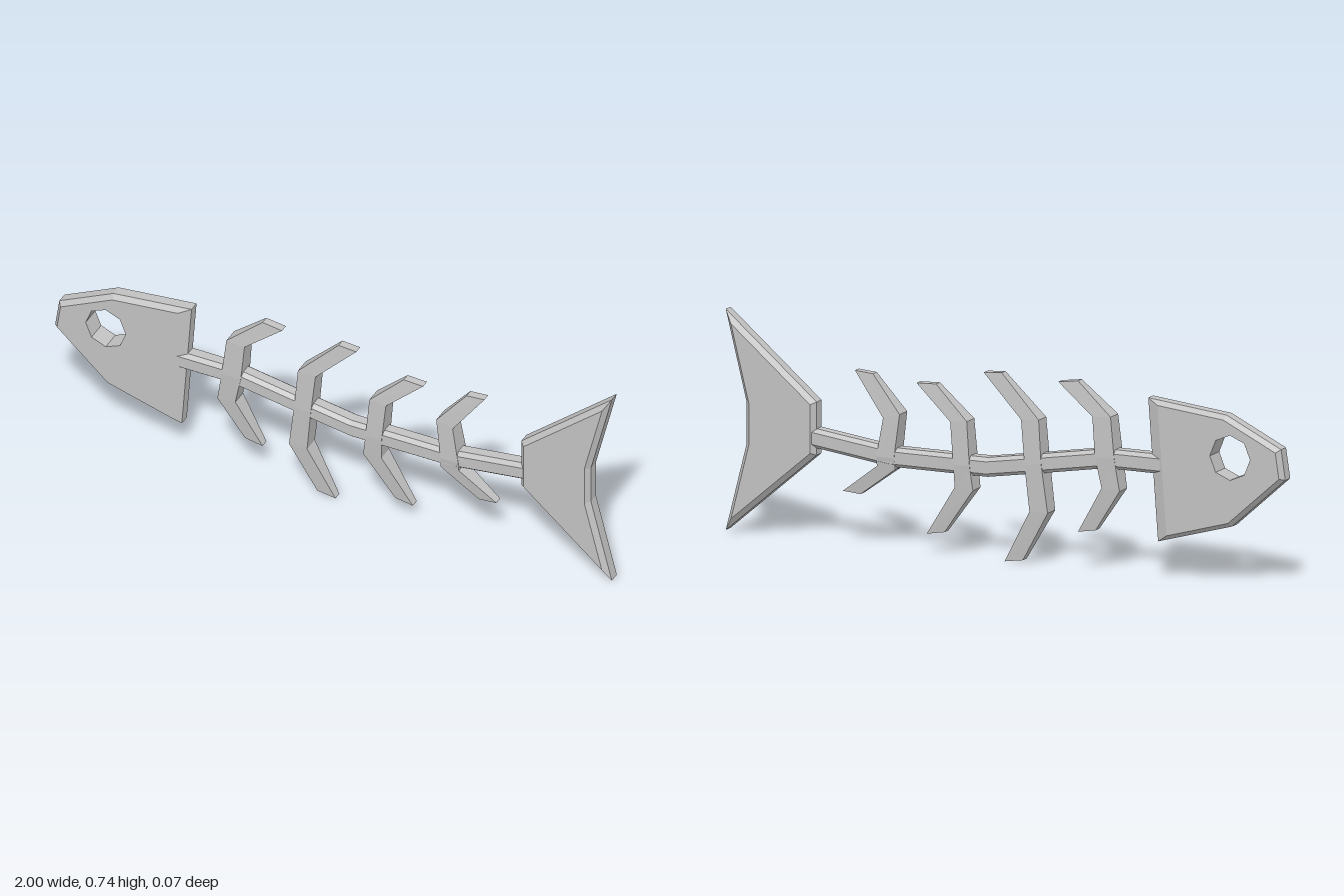
import * as THREE from 'three';

const bone = new THREE.MeshStandardMaterial({ color: 0xc2c2c2, flatShading: true });
bone.name = 'boneGrey';

// Collects flat triangles and turns them into a mesh.
function makeMesh(name, tris) {
  const geo = new THREE.BufferGeometry();
  geo.setAttribute('position', new THREE.Float32BufferAttribute(tris.flat(2), 3));
  geo.computeVertexNormals();
  const mesh = new THREE.Mesh(geo, bone);
  mesh.name = name;
  return mesh;
}

// Joins successive rings of points with side faces.
function skin(rings) {
  const tris = [];
  for (let r = 0; r + 1 < rings.length; r++) {
    const a = rings[r], b = rings[r + 1];
    a.forEach((p, i) => {
      const j = (i + 1) % a.length;
      tris.push([p, a[j], b[j]], [p, b[j], b[i]]);
    });
  }
  return tris;
}

// Moves every edge of a counter-clockwise outline inward by its own distance.
function inset(pts, dist) {
  const n = pts.length;
  const lines = pts.map(([x, y], i) => {
    const [u, v] = pts[(i + 1) % n];
    const len = Math.hypot(u - x, v - y);
    const nx = -(v - y) / len, ny = (u - x) / len;
    return [nx, ny, nx * x + ny * y + dist[i]];
  });
  return pts.map((_, i) => {
    const [a, b, c] = lines[(i + n - 1) % n], [d, e, f] = lines[i];
    const det = a * e - b * d;
    return [(c * e - b * f) / det, (a * f - c * d) / det];
  });
}

// Flat plate with bevelled rims on both sides and an optional straight hole.
function plate(name, outline, dist, face, rim, hole = []) {
  const inner = inset(outline, dist);
  const at = (pts, z) => pts.map(([x, y]) => [x, y, z]);
  const tris = skin([at(inner, -face), at(outline, -rim), at(outline, rim), at(inner, face)]);
  if (hole.length) tris.push(...skin([at(hole, -face), at(hole, face)]));
  const vec = (pts) => pts.map(([x, y]) => new THREE.Vector2(x, y));
  const all = [...inner, ...hole];
  for (const [a, b, c] of THREE.ShapeUtils.triangulateShape(vec(inner), hole.length ? [vec(hole)] : [])) {
    const [p, q, r] = [all[a], all[b], all[c]];
    const ccw = (q[0] - p[0]) * (r[1] - p[1]) - (q[1] - p[1]) * (r[0] - p[0]) > 0;
    const t = ccw ? [p, q, r] : [p, r, q];
    tris.push(at(t, face), at([t[0], t[2], t[1]], -face));
  }
  return makeMesh(name, tris);
}

// Bent rib: rows of [left x, left y, right x, right y] from top tip to bottom tip.
function rib(name, rows) {
  const depth = [0.014, 0.028, 0.033, 0.028, 0.014];
  const rings = rows.map(([lx, ly, rx, ry], i) => {
    const z = depth[i];
    return [[lx, ly, z], [lx, ly, -z], [rx, ry, -z], [rx, ry, z]];
  });
  const [a, b, c, d] = rings[0], [e, f, g, h] = rings[4];
  return makeMesh(name, [...skin(rings), [a, c, b], [a, d, c], [e, f, g], [e, g, h]]);
}

export function createModel() {
  const model = new THREE.Group();
  model.name = 'fishSkeleton';

  // Head with an eight-sided eye hole and a wider bevel at the rear
  const eye = Array.from({ length: 8 }, (_, i) => {
    const t = -i * Math.PI / 4;
    return [-0.81 + 0.072 * Math.cos(t), 0.424 + 0.074 * Math.sin(t)];
  });
  model.add(plate('head',
    [[-0.51, 0.59], [-0.79, 0.56], [-0.985, 0.465], [-1, 0.365], [-0.81, 0.195], [-0.545, 0.12]],
    [0.014, 0.014, 0.014, 0.014, 0.014, 0.04], 0.035, 0.018, eye));

  // Tail fin
  model.add(plate('tailFin',
    [[1, 0.735], [0.675, 0.46], [0.675, 0.285], [1, 0.007], [0.925, 0.3], [0.925, 0.435]],
    Array(6).fill(0.0155), 0.035, 0.018));

  // Spine, a bent bevelled bar running from head to tail
  const line = [[-0.62, 0.375], [-0.36, 0.375], [-0.134, 0.337], [0.064, 0.305], [0.41, 0.305], [0.72, 0.346]];
  const h = 0.032;
  const spine = [...line.map(([x, y]) => [x, y + h]).reverse(), ...line.map(([x, y]) => [x, y - h])];
  model.add(plate('spine', spine, Array(12).fill(0.012), 0.031, 0.017));

  // Four ribs, thinning toward their tips
  const ribs = [
    [[-0.257, 0.62, -0.187, 0.61], [-0.38, 0.515, -0.315, 0.51], [-0.395, 0.38, -0.326, 0.38],
      [-0.412, 0.273, -0.348, 0.278], [-0.32, 0.134, -0.257, 0.123]],
    [[0.016, 0.62, 0.08, 0.615], [-0.123, 0.48, -0.06, 0.476], [-0.134, 0.337, -0.075, 0.326],
      [-0.155, 0.176, -0.09, 0.176], [-0.06, 0.01, 0.005, 0]],
    [[0.25, 0.56, 0.32, 0.557], [0.134, 0.45, 0.193, 0.444], [0.122, 0.305, 0.18, 0.305],
      [0.112, 0.225, 0.177, 0.23], [0.22, 0.075, 0.283, 0.064]],
    [[0.476, 0.572, 0.54, 0.577], [0.374, 0.45, 0.433, 0.433], [0.392, 0.305, 0.455, 0.305],
      [0.39, 0.267, 0.455, 0.273], [0.52, 0.171, 0.583, 0.176]],
  ];
  ribs.forEach((rows, i) => model.add(rib(`rib${i + 1}`, rows)));
  return model;
}
